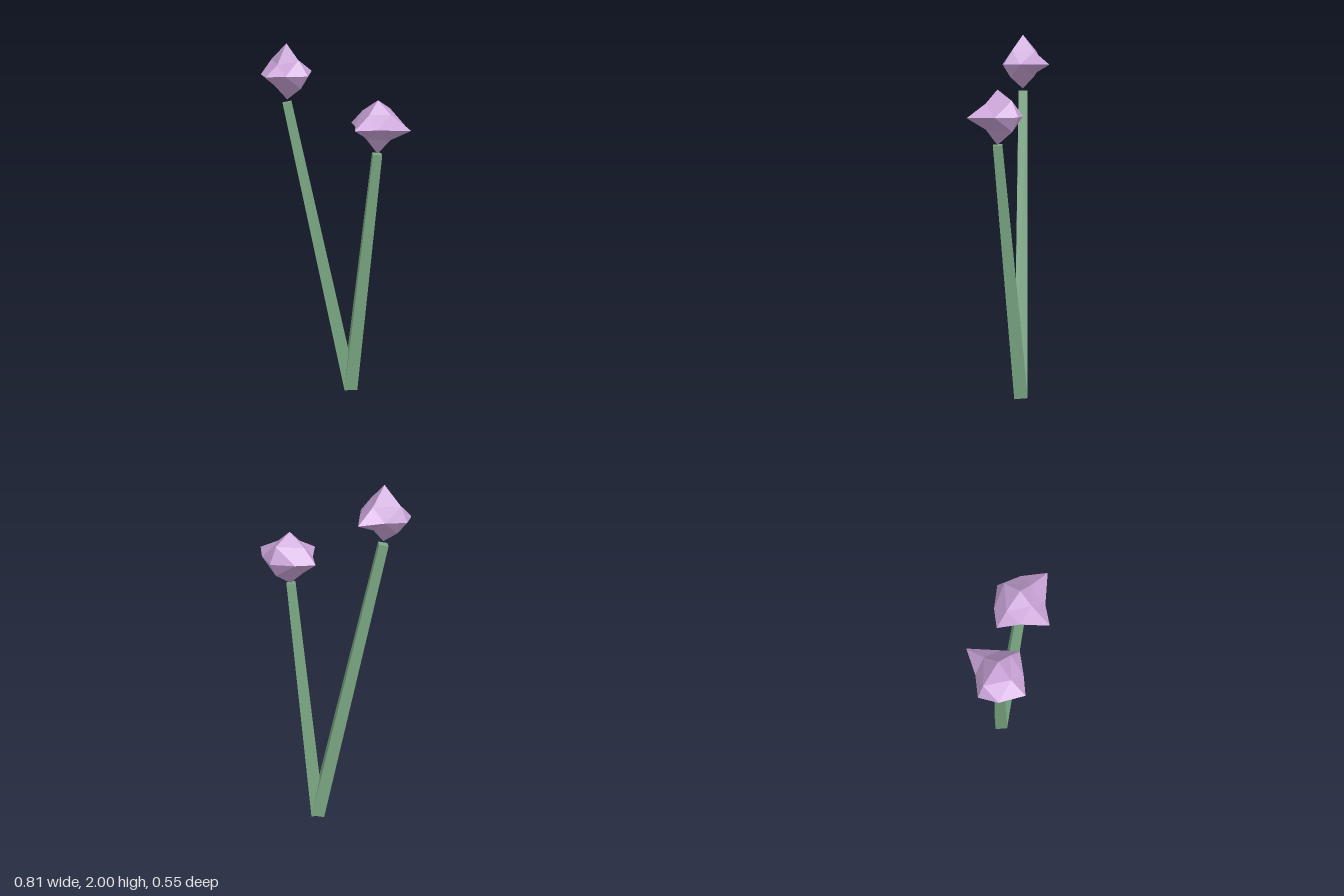
import * as THREE from 'three';

const stemMaterial = new THREE.MeshStandardMaterial({ color: 0x7aa783, flatShading: true });
const bloomMaterial = new THREE.MeshStandardMaterial({ color: 0xc8a2d6, flatShading: true });

// Four-sided tapering stalk between two points
function makeStem(name, from, to) {
  const axis = to.clone().sub(from);
  const stem = new THREE.Mesh(new THREE.CylinderGeometry(0.035, 0.053, axis.length(), 4), stemMaterial);
  stem.name = name;
  stem.position.copy(from).add(to).multiplyScalar(0.5);
  stem.quaternion.setFromUnitVectors(new THREE.Vector3(0, 1, 0), axis.normalize());
  return stem;
}

// Irregular octahedral bloom, every face split in four.
// reach: tip distances [+x, -x, +y, -y, +z, -z]
// mids: in-plane offsets of the edge points, for sign pairs ++, +-, -+, --
function makeBloom(name, centre, reach, mids) {
  const tip = (axis, sign) => {
    const p = [0, 0, 0];
    p[axis] = sign * reach[axis * 2 + (sign < 0 ? 1 : 0)];
    return p;
  };
  const mid = (a, sa, b, sb) => {
    const pair = mids[['xy', 'yz', 'xz'][a === 0 ? (b === 1 ? 0 : 2) : 1]];
    const [u, v] = pair[(sa < 0 ? 2 : 0) + (sb < 0 ? 1 : 0)];
    const p = [0, 0, 0];
    p[a] = sa * u;
    p[b] = sb * v;
    return p;
  };
  const positions = [];
  for (const sx of [1, -1]) for (const sy of [1, -1]) for (const sz of [1, -1]) {
    const x = tip(0, sx), y = tip(1, sy), z = tip(2, sz);
    const xy = mid(0, sx, 1, sy), yz = mid(1, sy, 2, sz), xz = mid(0, sx, 2, sz);
    const faces = [[x, xy, xz], [xy, y, yz], [xz, yz, z], [xy, yz, xz]];
    for (const [a, b, c] of faces) {
      positions.push(...a, ...(sx * sy * sz > 0 ? [...b, ...c] : [...c, ...b]));
    }
  }
  const geometry = new THREE.BufferGeometry();
  geometry.setAttribute('position', new THREE.Float32BufferAttribute(positions, 3));
  geometry.computeVertexNormals();
  const bloom = new THREE.Mesh(geometry, bloomMaterial);
  bloom.name = name;
  bloom.position.copy(centre);
  return bloom;
}

export function createModel() {
  const model = new THREE.Group();
  model.name = 'flowerPair';
  const root = new THREE.Vector3(0, 0.008, -0.125);

  // Tall flower leaning right and forward
  model.add(makeStem('tallStem', root, new THREE.Vector3(-0.256, 1.685, 0.112)));
  model.add(makeBloom('tallBloom', new THREE.Vector3(-0.255, 1.835, 0.112),
    [0.152, 0.15, 0.165, 0.135, 0.163, 0.203], {
      xy: [[0.085, 0.08], [0.1, 0.07], [0.11, 0.075], [0.09, 0.07]],
      yz: [[0.055, 0.075], [0.07, 0.09], [0.05, 0.09], [0.055, 0.08]],
      xz: [[0.073, 0.09], [0.098, 0.073], [0.107, 0.09], [0.072, 0.084]],
    }));

  // Short flower leaning left
  model.add(makeStem('shortStem', root, new THREE.Vector3(0.18, 1.42, -0.125)));
  model.add(makeBloom('shortBloom', new THREE.Vector3(0.182, 1.57, -0.126),
    [0.22, 0.182, 0.14, 0.15, 0.196, 0.152], {
      xy: [[0.085, 0.07], [0.085, 0.065], [0.105, 0.075], [0.09, 0.07]],
      yz: [[0.07, 0.075], [0.085, 0.105], [0.06, 0.085], [0.075, 0.11]],
      xz: [[0.075, 0.105], [0.115, 0.095], [0.09, 0.08], [0.11, 0.08]],
    }));
  return model;
}
